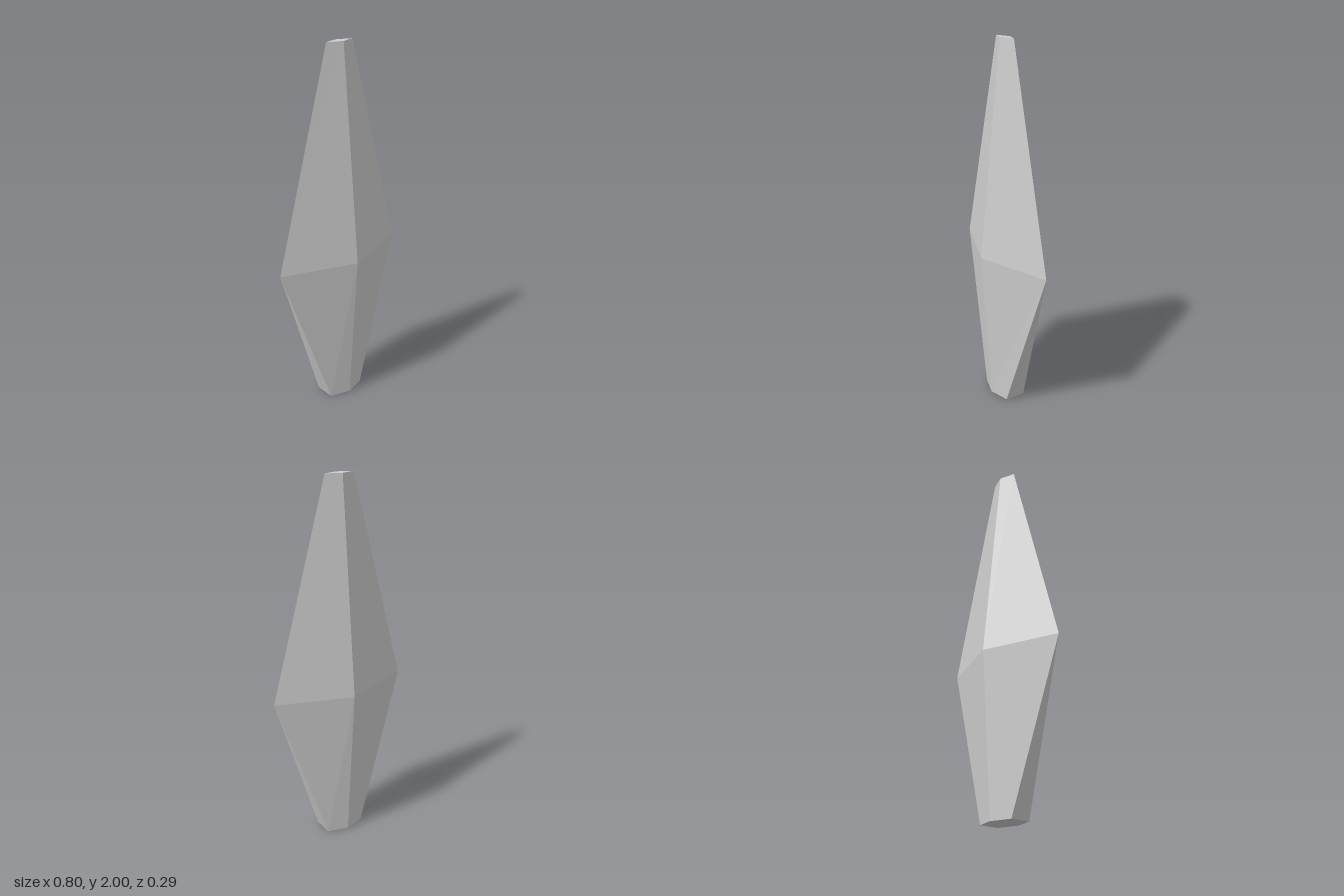
import * as THREE from 'three';

// Six-point ring running front, left, back, right; sideZ = 0 pinches the sides to a sharp edge
function ring(y, halfWidth, halfDepth, sideZ) {
  return [
    [0, halfDepth], [halfWidth, sideZ], [halfWidth, -sideZ],
    [0, -halfDepth], [-halfWidth, -sideZ], [-halfWidth, sideZ],
  ].map(([x, z]) => new THREE.Vector3(x, y, z));
}

// Joins the rings with flat facets and closes both ends
function facetedGeometry(rings) {
  const points = [];
  const triangle = (a, b, c) => {
    if (!a.equals(b) && !b.equals(c) && !c.equals(a)) points.push(a, b, c);
  };
  for (let r = 0; r < rings.length - 1; r++) {
    const low = rings[r], high = rings[r + 1];
    for (let i = 0; i < 6; i++) {
      const j = (i + 1) % 6;
      triangle(low[i], low[j], high[j]);
      triangle(low[i], high[j], high[i]);
    }
  }
  const base = rings[0], tip = rings[rings.length - 1];
  for (let i = 1; i < 5; i++) {
    triangle(base[0], base[i + 1], base[i]);
    triangle(tip[0], tip[i], tip[i + 1]);
  }
  const geometry = new THREE.BufferGeometry().setFromPoints(points);
  geometry.computeVertexNormals();
  return geometry;
}

export function createModel() {
  const group = new THREE.Group();
  group.name = 'crystalShard';
  const paleGrey = new THREE.MeshStandardMaterial({ color: 0xcccccc, flatShading: true });
  paleGrey.name = 'pale grey';

  // Hexagonal base, wide diamond girdle, small diamond tip
  const shard = new THREE.Mesh(facetedGeometry([
    ring(0, 0.113, 0.09, 0.056),
    ring(0.86, 0.402, 0.146, 0),
    ring(2, 0.084, 0.03, 0),
  ]), paleGrey);
  shard.name = 'shard';
  group.add(shard);
  return group;
}
